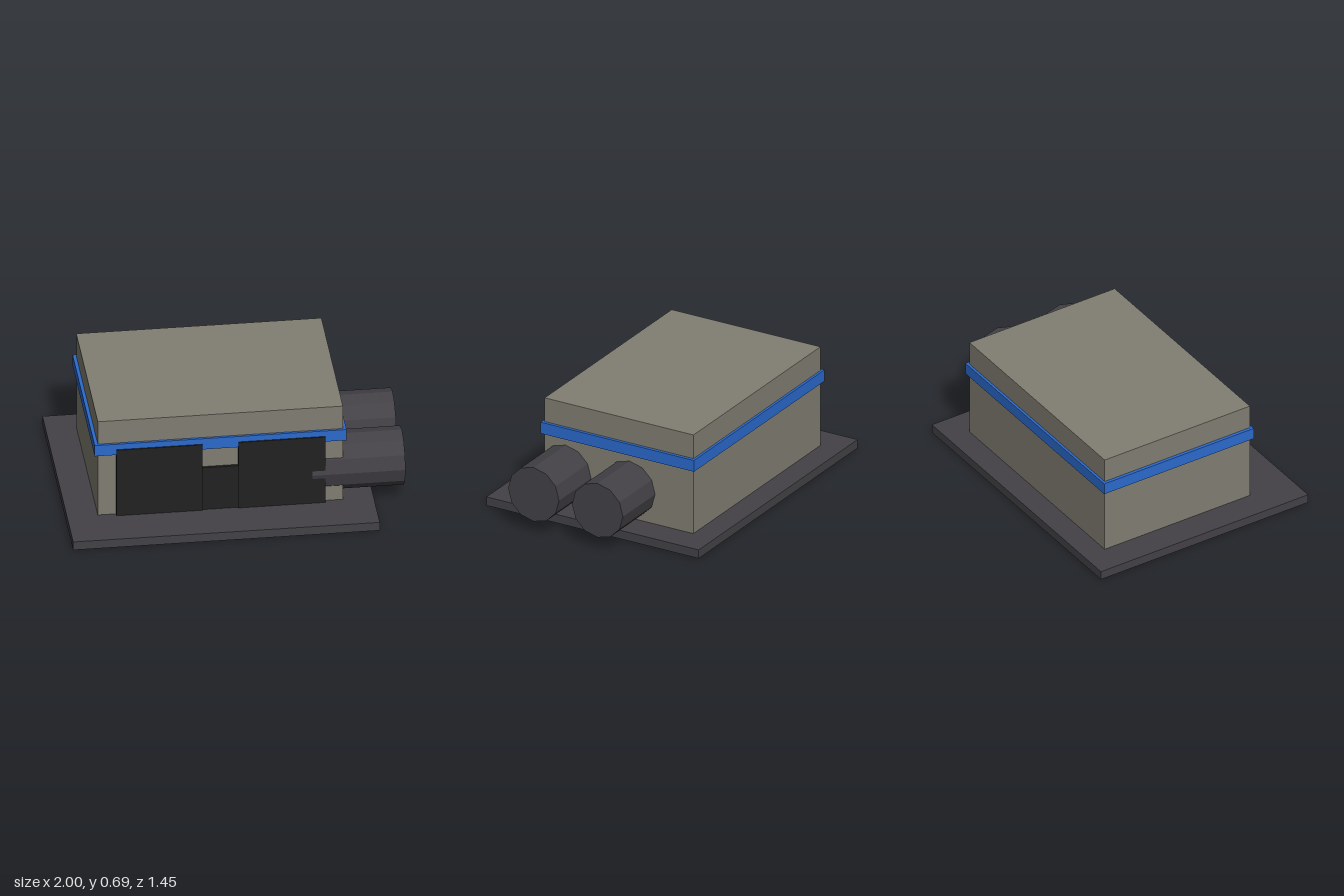
import * as THREE from 'three';

function flat(name, color) {
  const m = new THREE.MeshStandardMaterial({ color, flatShading: true });
  m.name = name;
  return m;
}

export function createModel() {
  const group = new THREE.Group();
  const stone = flat('warm grey wall', 0x817e72);
  const slate = flat('slate grey', 0x434146);
  const blue = flat('blue trim', 0x2b6acd);
  const black = flat('black door', 0x222222);

  // Box given by its extents on each axis
  function box(name, material, [x0, x1], [y0, y1], [z0, z1]) {
    const mesh = new THREE.Mesh(new THREE.BoxGeometry(x1 - x0, y1 - y0, z1 - z0), material);
    mesh.position.set((x0 + x1) / 2, (y0 + y1) / 2, (z0 + z1) / 2);
    mesh.name = name;
    group.add(mesh);
  }

  // Ground slab, main block and the band around it
  box('baseSlab', slate, [-1, 0.815], [0, 0.055], [-0.727, 0.727]);
  box('building', stone, [-0.818, 0.633], [0.055, 0.692], [-0.582, 0.437]);
  box('trimBand', blue, [-0.838, 0.653], [0.466, 0.539], [-0.598, 0.452]);

  // Two tall doors with a lower, slightly recessed panel between them
  box('leftDoor', black, [-0.71, -0.2], [0.055, 0.502], [0.42, 0.46]);
  box('middlePanel', black, [-0.2, 0.013], [0.055, 0.34], [0.42, 0.452]);
  box('rightDoor', black, [0.013, 0.526], [0.055, 0.502], [0.42, 0.46]);

  // Twelve-sided tanks lying along x
  for (const z of [0.293, -0.145]) {
    const tank = new THREE.Mesh(new THREE.CylinderGeometry(0.174, 0.174, 0.55, 12), slate);
    tank.rotation.z = Math.PI / 2;
    tank.position.set(0.725, 0.246, z);
    tank.name = 'sideTank';
    group.add(tank);
  }
  return group;
}
